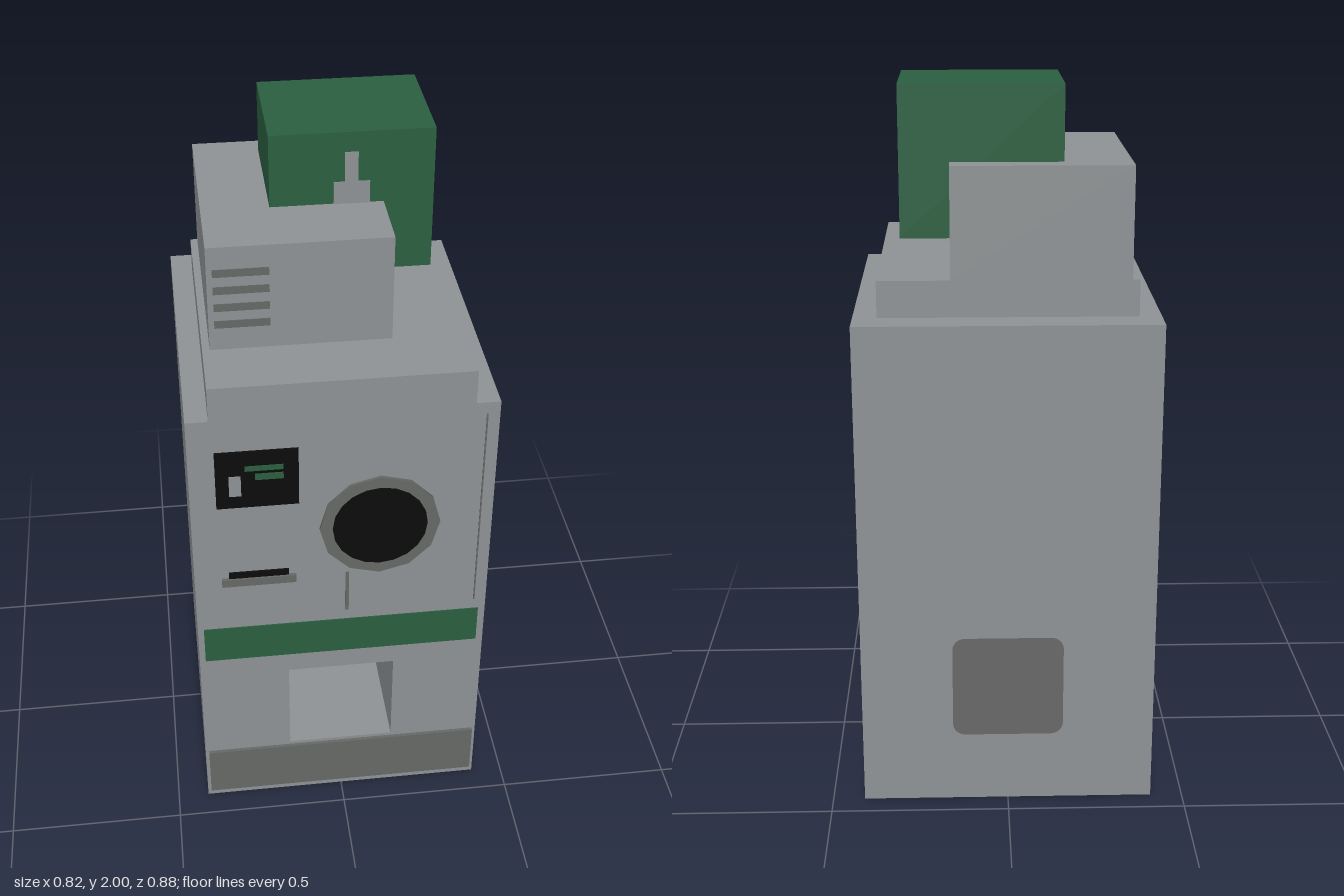
import * as THREE from 'three';

const material = (name, color, side = THREE.FrontSide) => {
  const m = new THREE.MeshStandardMaterial({ color, side });
  m.name = name;
  return m;
};

export function createModel() {
  const group = new THREE.Group();
  const grey = material('bodyGrey', 0x8f9395, THREE.DoubleSide);
  const dark = material('darkGrey', 0x676967);
  const black = material('black', 0x0c0c0c);
  const green = material('green', 0x2b5f40);

  const add = (name, geometry, mat, x = 0, y = 0, z = 0) => {
    const mesh = new THREE.Mesh(geometry, mat);
    mesh.name = name;
    mesh.position.set(x, y, z);
    group.add(mesh);
    return mesh;
  };
  // Box given by its limits on each axis
  const box = (name, mat, x0, x1, y0, y1, z0, z1) =>
    add(name, new THREE.BoxGeometry(x1 - x0, y1 - y0, z1 - z0), mat,
      (x0 + x1) / 2, (y0 + y1) / 2, (z0 + z1) / 2);
  // Sheet standing across x
  const wall = (name, x, y0, y1, z0, z1) => {
    const m = add(name, new THREE.PlaneGeometry(z1 - z0, y1 - y0), grey, x, (y0 + y1) / 2, (z0 + z1) / 2);
    m.rotation.y = x < 0 ? -Math.PI / 2 : Math.PI / 2;
  };
  // Level sheet
  const level = (name, y, x0, x1, z0, z1) => {
    const m = add(name, new THREE.PlaneGeometry(x1 - x0, z1 - z0), grey, (x0 + x1) / 2, y, (z0 + z1) / 2);
    m.rotation.x = -Math.PI / 2;
  };

  const W = 0.41, H = 1.4, F = 0.427, B = -0.437;
  const L = -0.155, R = 0.15, floorY = 0.2, ceilingY = 0.5, recessZ = 0.05;

  // Cabinet shell, open underneath, with a hatch cut in the front
  const front = new THREE.Shape([[-W, 0], [W, 0], [W, H], [-W, H]].map(p => new THREE.Vector2(...p)));
  front.holes.push(new THREE.Path(
    [[L, floorY], [L, ceilingY], [R, ceilingY], [R, floorY]].map(p => new THREE.Vector2(...p))));
  add('cabinetFront', new THREE.ShapeGeometry(front), grey, 0, 0, F);
  add('cabinetBack', new THREE.PlaneGeometry(2 * W, H), grey, 0, H / 2, B).rotation.y = Math.PI;
  for (const x of [-W, W]) wall('cabinetSide', x, 0, H, B, F);
  level('cabinetTop', H, -W, W, B, F);

  // Hatch recess and the dividers below it
  for (const x of [L, R]) {
    wall('baseDivider', x, 0, floorY, B, F);
    wall('hatchSide', x, floorY, ceilingY, recessZ, F);
  }
  level('hatchFloor', floorY, L, R, B, F);
  level('hatchCeiling', ceilingY, L, R, recessZ, F);
  box('hatchBack', dark, L, R, floorY, ceilingY, recessZ - 0.005, recessZ);

  // Stacked upper housings
  box('topStep', grey, -0.35, 0.345, H, 1.5, -0.35, F);
  box('upperHousing', grey, -0.33, 0.15, 1.5, 1.8, -0.35, 0.247);
  box('greenBlock', green, -0.15, 0.282, 1.6, 2, -0.29, 0.05);
  for (let i = 0; i < 4; i++) {
    const y = 1.565 + i * 0.05;
    box('louver', dark, -0.315, -0.17, y, y + 0.022, 0.246, 0.249);
  }

  // Stepped plate on the green block
  box('plateBase', grey, 0.018, 0.113, 1.8, 1.862, 0.05, 0.053);
  box('plateStem', grey, 0.047, 0.082, 1.862, 1.945, 0.05, 0.053);

  // Display
  box('display', black, -0.34, -0.12, 1.12, 1.3, F, F + 0.008);
  box('displayIcon', grey, -0.305, -0.273, 1.16, 1.225, F + 0.008, F + 0.01);
  box('displayBar', green, -0.262, -0.16, 1.24, 1.256, F + 0.008, F + 0.01);
  box('displayBar', green, -0.235, -0.16, 1.21, 1.23, F + 0.008, F + 0.01);

  // Slot and tray
  box('slot', black, -0.315, -0.15, 0.87, 0.89, F, F + 0.005);
  box('tray', dark, -0.335, -0.13, 0.845, 0.87, F, F + 0.01);

  // Round window with a twelve-sided rim
  const disc = (name, mat, r, sides, depth) => {
    const g = new THREE.CylinderGeometry(r, r, depth, sides).rotateX(Math.PI / 2);
    add(name, g, mat, 0.1, 1.022, F + depth / 2);
  };
  disc('windowRim', dark, 0.165, 12, 0.008);
  disc('windowGlass', black, 0.13, 20, 0.01);

  // Seams, stripe and kick plate
  box('shortSeam', dark, 0.007, 0.017, 0.72, 0.86, F, F + 0.003);
  box('doorSeam', dark, 0.374, 0.378, 0.72, 1.365, F, F + 0.003);
  box('stripe', green, -0.393, 0.39, 0.565, 0.685, F, F + 0.003);
  box('kickPlate', dark, -0.4, 0.4, 0.025, 0.19, F, F + 0.01);

  // Rounded panel on the back
  const r = 0.035, a = 0.155, b = 0.15;
  const panel = new THREE.Shape();
  [[a - r, b - r], [r - a, b - r], [r - a, r - b], [a - r, r - b]].forEach(([x, y], i) =>
    panel.absarc(x, y, r, i * Math.PI / 2, (i + 1) * Math.PI / 2));
  add('rearPanel', new THREE.ShapeGeometry(panel, 5), dark, 0, 0.355, B - 0.002).rotation.y = Math.PI;

  return group;
}
